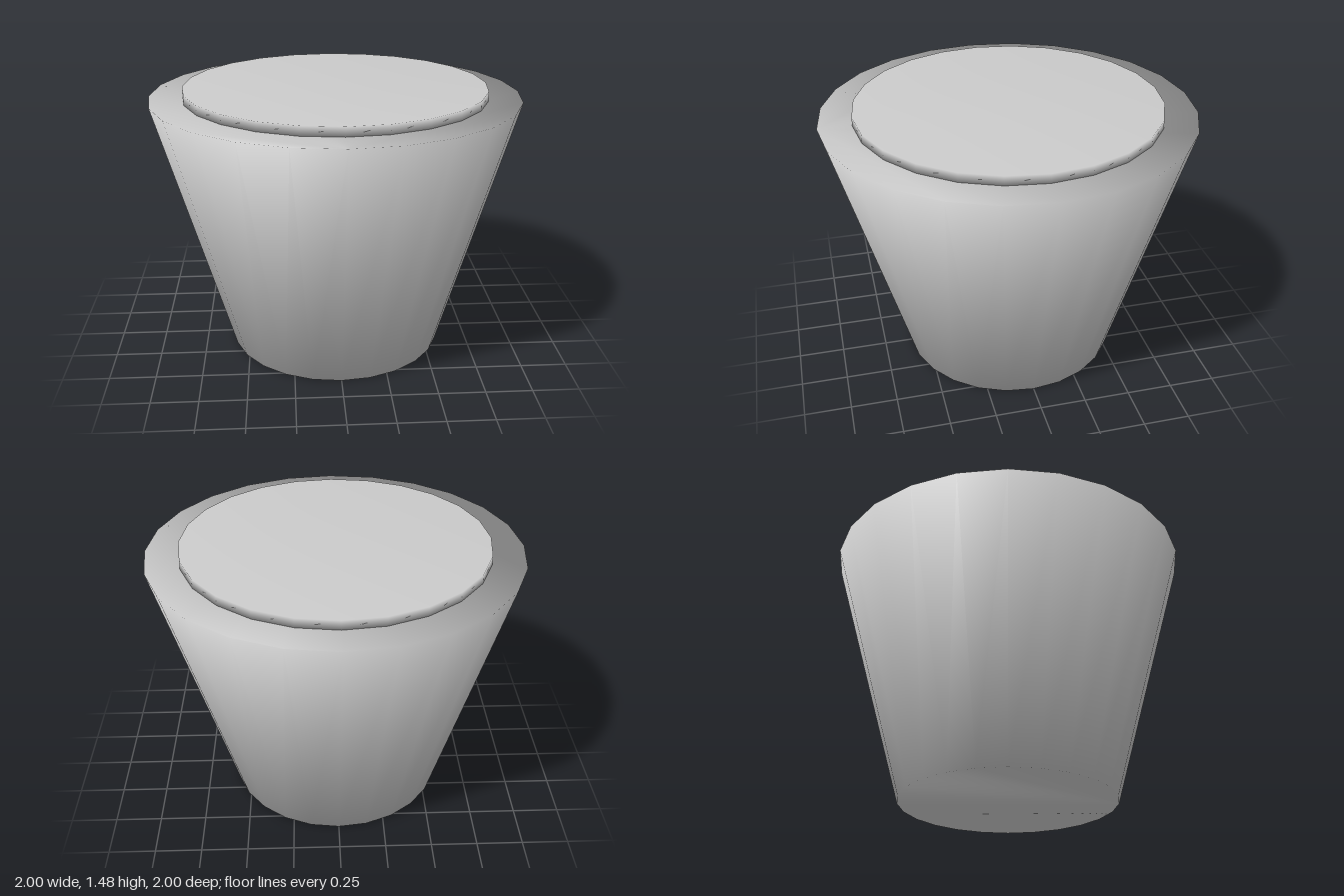
import * as THREE from 'three';

const SIDES = 24;

// Closed frustum whose walls and caps share smooth normals across the rims.
function smoothFrustum(rBottom, rTop, height) {
  const pos = [], nor = [], idx = [];
  const n = new THREE.Vector3();
  const rings = [
    { r: rBottom, y: 0, ny: rBottom - rTop - rBottom },
    { r: rTop, y: height, ny: rBottom - rTop + rTop },
  ];
  for (const { r, y, ny } of rings) {
    for (let i = 0; i < SIDES; i++) {
      const a = (i / SIDES) * Math.PI * 2;
      const s = Math.sin(a), c = Math.cos(a);
      pos.push(r * s, y, r * c);
      n.set(height * s, ny, height * c).normalize();
      nor.push(n.x, n.y, n.z);
    }
  }
  // Walls
  for (let i = 0; i < SIDES; i++) {
    const j = (i + 1) % SIDES;
    idx.push(i, j, SIDES + j, i, SIDES + j, SIDES + i);
  }
  // Caps
  for (let i = 1; i < SIDES - 1; i++) {
    idx.push(0, i + 1, i);
    idx.push(SIDES, SIDES + i, SIDES + i + 1);
  }
  const g = new THREE.BufferGeometry();
  g.setAttribute('position', new THREE.Float32BufferAttribute(pos, 3));
  g.setAttribute('normal', new THREE.Float32BufferAttribute(nor, 3));
  g.setIndex(idx);
  return g;
}

export function createModel() {
  const group = new THREE.Group();
  const grey = new THREE.MeshStandardMaterial({ color: 0xcccccc });
  grey.name = 'light grey';

  // Tapered pot body
  const pot = new THREE.Mesh(smoothFrustum(0.594, 1, 1.43), grey);
  pot.name = 'pot';

  // Thin disc resting on the rim plane
  const disc = new THREE.Mesh(smoothFrustum(0.82, 0.82, 0.05), grey);
  disc.name = 'topDisc';
  disc.position.y = 1.43;

  group.add(pot, disc);
  return group;
}
